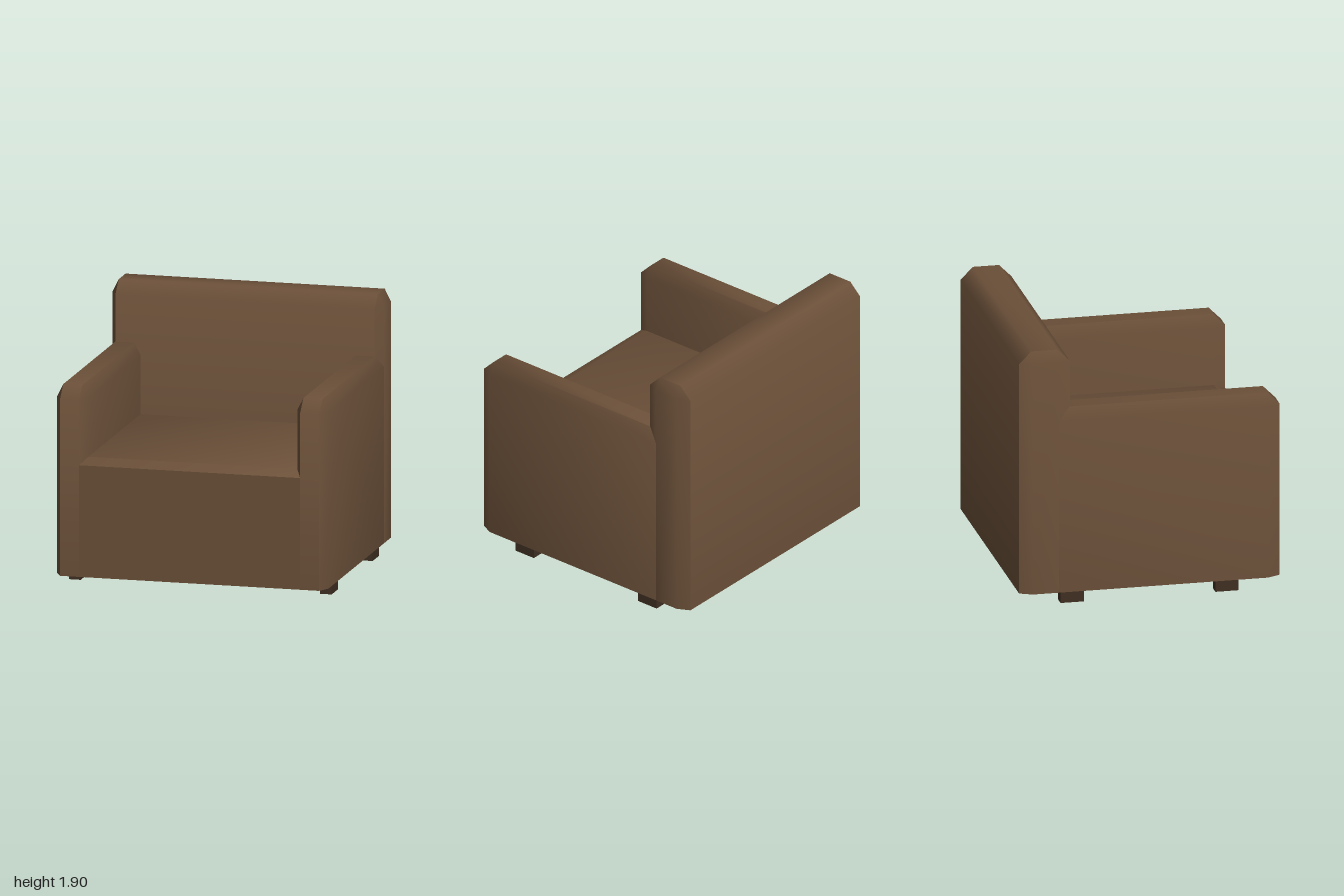
import * as THREE from 'three';
import { toCreasedNormals } from 'three/addons/utils/BufferGeometryUtils.js';
import { ConvexGeometry } from 'three/addons/geometries/ConvexGeometry.js';

const BX = 0.045, BZ = 0.09; // bevel widths along x and z

// Block with bevelled upright and top edges and a sharp bottom
function bevelledBlock([x0, x1], [y0, y1], [z0, z1], by) {
  const points = [];
  for (const [x, xi] of [[x0, x0 + BX], [x1, x1 - BX]]) {
    for (const [z, zi] of [[z0, z0 + BZ], [z1, z1 - BZ]]) {
      for (const y of [y0, y1 - by]) {
        points.push(new THREE.Vector3(xi, y, z), new THREE.Vector3(x, y, zi));
      }
      points.push(new THREE.Vector3(xi, y1, zi));
    }
  }
  return toCreasedNormals(new ConvexGeometry(points), 0.85);
}

export function createModel() {
  const model = new THREE.Group();
  model.name = 'armchair';
  const upholstery = new THREE.MeshStandardMaterial({ color: 0x6b5039 });
  const wood = new THREE.MeshStandardMaterial({ color: 0x3f2f22 });

  const add = (name, geometry, material) => {
    const mesh = new THREE.Mesh(geometry, material);
    mesh.name = name;
    model.add(mesh);
    return mesh;
  };

  // Upright backrest and seat block; the seat sides sink into the arms
  add('backrest', bevelledBlock([-1, 1], [0.09, 1.905], [-0.95, -0.58], 0.09), upholstery);
  add('seat', bevelledBlock([-0.86, 0.86], [0.09, 0.95], [-0.72, 0.95], 0.045), upholstery);

  // Arms run back into the backrest
  add('leftArm', bevelledBlock([0.77, 1], [0.09, 1.47], [-0.76, 0.95], 0.09), upholstery);
  add('rightArm', bevelledBlock([-1, -0.77], [0.09, 1.47], [-0.76, 0.95], 0.09), upholstery);

  // Four short feet near the side edges
  const foot = new THREE.BoxGeometry(0.085, 0.09, 0.17);
  for (const [side, x] of [['Left', 0.925], ['Right', -0.925]]) {
    for (const [end, z] of [['front', 0.565], ['back', -0.565]]) {
      add(`${end}${side}Foot`, foot, wood).position.set(x, 0.045, z);
    }
  }
  return model;
}
